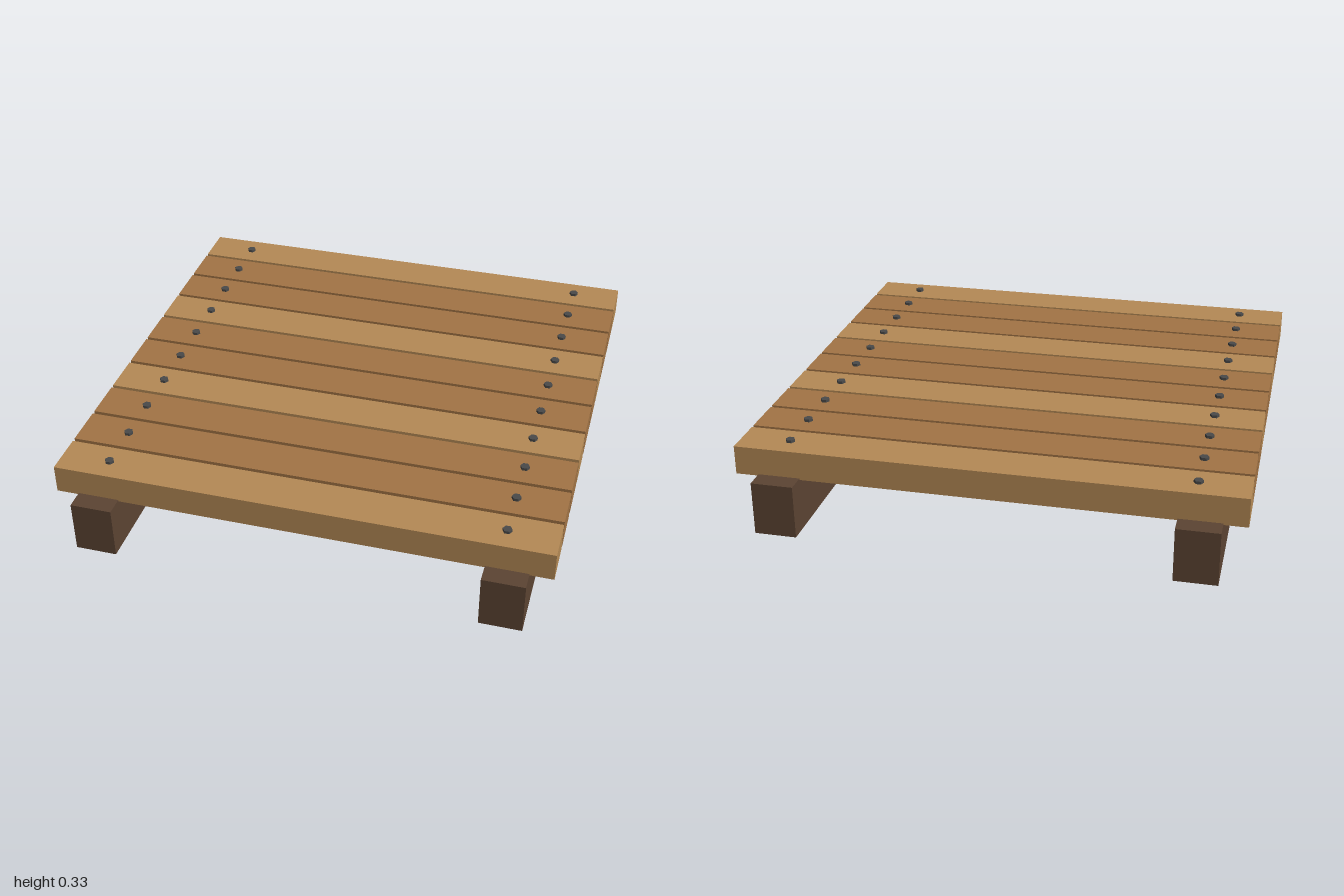
import * as THREE from 'three';

const material = (color) => new THREE.MeshStandardMaterial({ color, flatShading: true });

export function createModel() {
  const model = new THREE.Group();
  model.name = 'plankPlatform';

  const lightWood = material(0xb58a55);
  const darkWood = material(0xa27445);
  const beamWood = material(0x5c4433);
  const metal = material(0x4a4a4a);

  const add = (name, geometry, mat, x, y, z) => {
    const mesh = new THREE.Mesh(geometry, mat);
    mesh.name = name;
    mesh.position.set(x, y, z);
    model.add(mesh);
  };

  // Two bearer beams running front to back
  const beam = new THREE.BoxGeometry(0.162, 0.21, 2);
  add('leftBeam', beam, beamWood, 0.787, 0.105, 0);
  add('rightBeam', beam, beamWood, -0.787, 0.105, 0);

  // Cross planks, slightly let into the beams, every third one lighter
  const count = 10;
  const pitch = 0.1866;
  const plank = new THREE.BoxGeometry(1.914, 0.113, 0.171);
  // Hexagonal bolt heads with corners pointing sideways
  const bolt = new THREE.CylinderGeometry(0.018, 0.018, 0.022, 6).rotateY(Math.PI / 6);

  for (let i = 0; i < count; i++) {
    const z = (i - (count - 1) / 2) * pitch;
    add(`plank${i + 1}`, plank, i % 3 === 0 ? lightWood : darkWood, 0, 0.2605, z);
    add(`leftBolt${i + 1}`, bolt, metal, 0.766, 0.317, z);
    add(`rightBolt${i + 1}`, bolt, metal, -0.766, 0.317, z);
  }

  return model;
}
